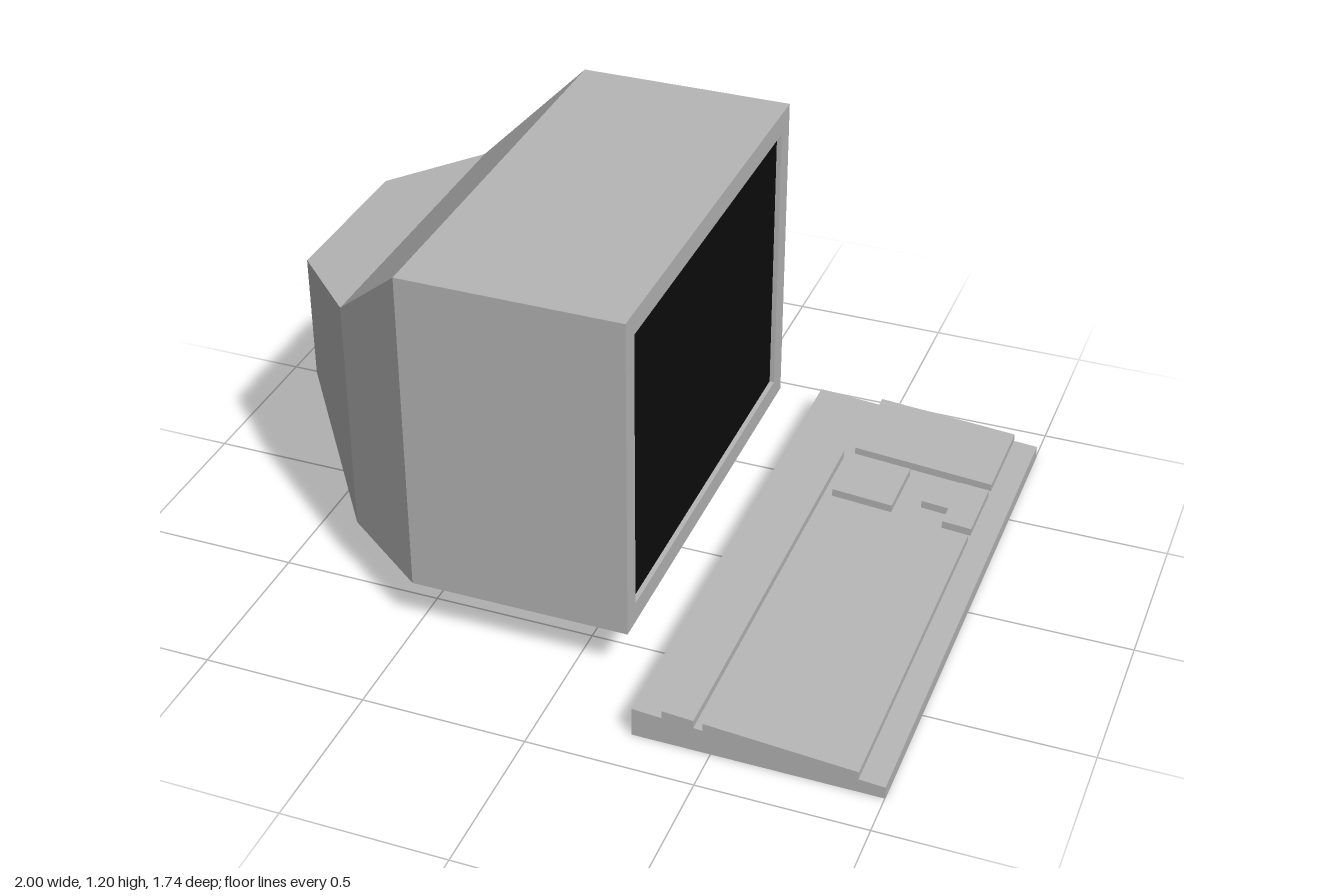
import * as THREE from 'three';

const casing = new THREE.MeshStandardMaterial({ color: 0xb6b6b6 });
casing.name = 'casingGrey';
const glass = new THREE.MeshStandardMaterial({ color: 0x0d0d0d });
glass.name = 'screenBlack';

function mesh(name, geometry, material) {
  const m = new THREE.Mesh(geometry, material);
  m.name = name;
  return m;
}

// Rectangular cross-section at x, counter-clockwise seen from +x
const ring = (x, y0, y1, z0, z1) => [[x, y0, z1], [x, y0, z0], [x, y1, z0], [x, y1, z1]];

// Flat-sided skin through a row of rings, closed at the first one
function loft(rings) {
  const pos = [];
  const quad = (a, b, c, d) => pos.push(...a, ...b, ...c, ...a, ...c, ...d);
  quad(...[...rings[0]].reverse());
  for (let r = 0; r < rings.length - 1; r++) {
    for (let i = 0; i < 4; i++) {
      const j = (i + 1) % 4;
      quad(rings[r][i], rings[r][j], rings[r + 1][j], rings[r + 1][i]);
    }
  }
  const g = new THREE.BufferGeometry();
  g.setAttribute('position', new THREE.Float32BufferAttribute(pos, 3));
  g.computeVertexNormals();
  return g;
}

// Side profile in x and y, drawn out from z0 to z1
function prism(points, z0, z1) {
  const shape = new THREE.Shape(points.map(([x, y]) => new THREE.Vector2(x, y)));
  const g = new THREE.ExtrudeGeometry(shape, { depth: z1 - z0, bevelEnabled: false });
  return g.translate(0, 0, z0);
}

function createMonitor() {
  const monitor = new THREE.Group();
  monitor.name = 'monitor';
  const opening = [0.233, 1.128, -0.647, 0.589];

  // Tapered tube housing, front bezel and shallow recess in one skin
  monitor.add(mesh('housing', loft([
    ring(-1, 0.53, 0.92, -0.295, 0.23),
    ring(-0.77, 0.19, 0.94, -0.535, 0.467),
    ring(-0.5, 0.167, 1.197, -0.718, 0.652),
    ring(0.172, 0.167, 1.197, -0.718, 0.652),
    ring(0.172, ...opening),
    ring(0.157, ...opening),
  ]), casing));

  // Dark screen at the bottom of the recess
  const [y0, y1, z0, z1] = opening;
  const screen = mesh('screen', new THREE.PlaneGeometry(z1 - z0, y1 - y0), glass);
  screen.rotation.y = Math.PI / 2;
  screen.position.set(0.157, (y0 + y1) / 2, (z0 + z1) / 2);
  monitor.add(screen);
  return monitor;
}

function createKeyboard() {
  const keyboard = new THREE.Group();
  keyboard.name = 'keyboard';
  const back = 0.267, front = 1, keyHeight = 0.025;
  const deck = (x) => 0.093 - (x - back) * 0.074; // height of the sloping top

  // Wedge-shaped base
  keyboard.add(mesh('keyboardBase', prism(
    [[back, 0], [front, 0], [front, deck(front)], [back, deck(back)]], -0.87, 0.867), casing));

  // Raised key blocks: name, x range, z range
  const blocks = [
    ['functionKeys', 0.356, 0.449, -0.535, 0.867],
    ['mainKeys', 0.476, 0.924, -0.282, 0.867],
    ['numberPad', 0.476, 0.924, -0.87, -0.567],
    ['navigationKeys', 0.476, 0.668, -0.535, -0.322],
    ['arrowKeyRow', 0.832, 0.924, -0.535, -0.315],
    ['arrowKeyUp', 0.746, 0.832, -0.465, -0.387],
  ];
  for (const [name, x0, x1, z0, z1] of blocks) {
    keyboard.add(mesh(name, prism([
      [x0, deck(x0)], [x1, deck(x1)],
      [x1, deck(x1) + keyHeight], [x0, deck(x0) + keyHeight],
    ], z0, z1), casing));
  }
  return keyboard;
}

export function createModel() {
  const model = new THREE.Group();
  model.name = 'desktopComputer';
  model.add(createMonitor(), createKeyboard());
  return model;
}
